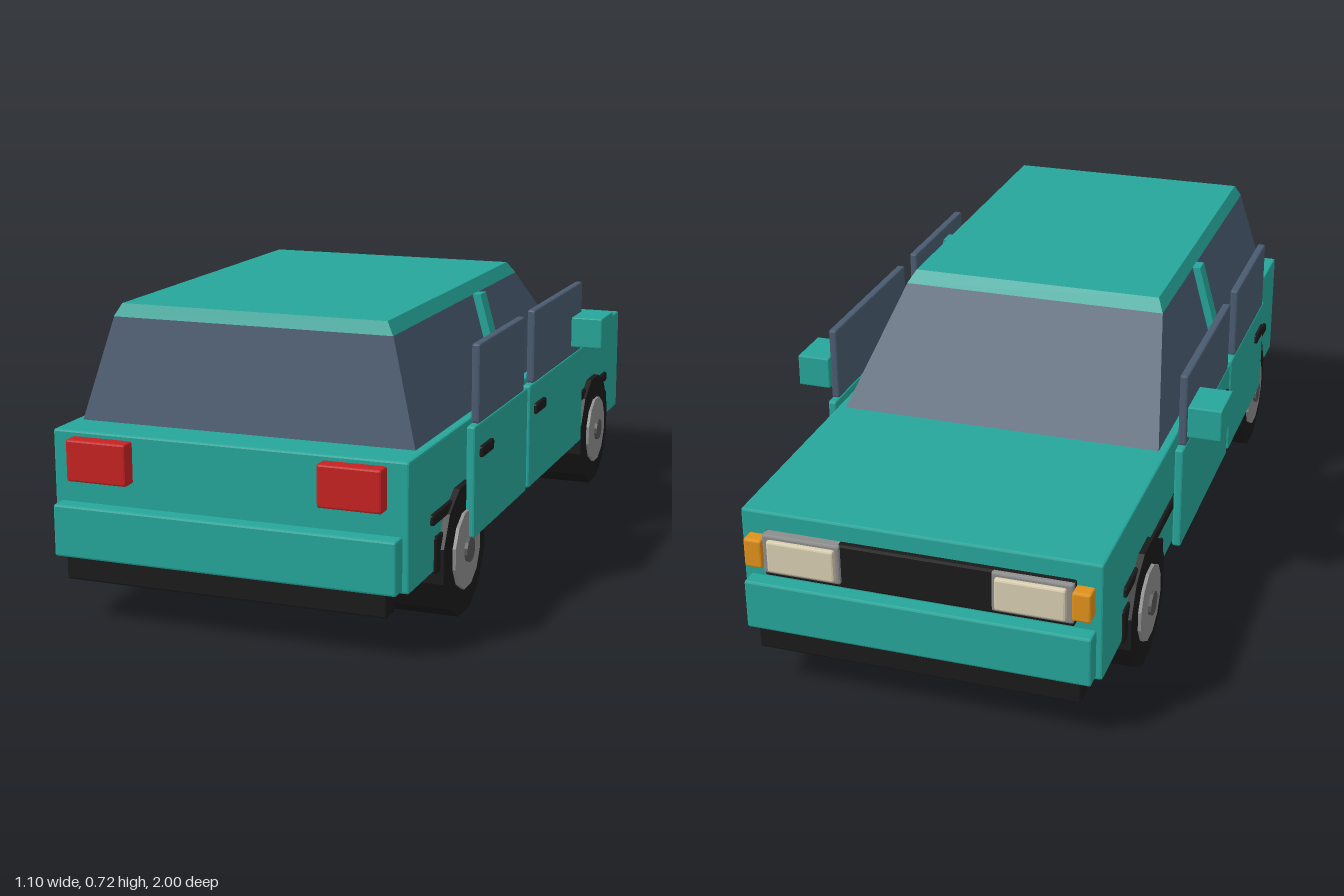
import * as THREE from 'three';
import { RoundedBoxGeometry } from 'three/addons/geometries/RoundedBoxGeometry.js';

const paint = (color) => new THREE.MeshStandardMaterial({ color, flatShading: true });
const teal = paint(0x26a69a), glass = paint(0x4a5b70), black = paint(0x1a1a1a), red = paint(0xc62222);
const orange = paint(0xe0921a), cream = paint(0xd8ceb0), grey = paint(0x8c8c8c), steel = paint(0x555555);

// Box given by its limits on each axis, with slightly softened edges
function box(name, mat, [x0, x1], [y0, y1], [z0, z1], bevel = 0.005) {
  const geo = new RoundedBoxGeometry(x1 - x0, y1 - y0, z1 - z0, 1, bevel);
  const mesh = new THREE.Mesh(geo, mat);
  mesh.name = name;
  mesh.position.set((x0 + x1) / 2, (y0 + y1) / 2, (z0 + z1) / 2);
  return mesh;
}

// Box whose top rectangle differs from its bottom one; rect = [halfX, zMin, zMax]
function frustum(name, mat, y0, y1, bottom, top) {
  const geo = new THREE.BoxGeometry(1, 1, 1);
  const p = geo.attributes.position;
  for (let i = 0; i < p.count; i++) {
    const upper = p.getY(i) > 0;
    const [hx, zMin, zMax] = upper ? top : bottom;
    p.setXYZ(i, Math.sign(p.getX(i)) * hx, upper ? y1 : y0, p.getZ(i) > 0 ? zMax : zMin);
  }
  geo.computeVertexNormals();
  const mesh = new THREE.Mesh(geo, mat);
  mesh.name = name;
  return mesh;
}

// Same box on both sides of the car
function pair(group, name, mat, [x0, x1], y, z, bevel) {
  group.add(box(name + 'Left', mat, [x0, x1], y, z, bevel));
  group.add(box(name + 'Right', mat, [-x1, -x0], y, z, bevel));
}

// Twelve-sided wheel with its outer face towards +x
function wheel(name) {
  const group = new THREE.Group();
  group.name = name;
  const disc = (part, mat, r, x0, x1, rOuter = r) => {
    const geo = new THREE.CylinderGeometry(rOuter, r, x1 - x0, 12);
    geo.rotateY(Math.PI / 12).rotateZ(-Math.PI / 2);
    const mesh = new THREE.Mesh(geo, mat);
    mesh.name = part;
    mesh.position.x = (x0 + x1) / 2;
    group.add(mesh);
  };
  disc('tyre', black, 0.159, -0.08, 0.08);
  disc('rim', grey, 0.095, 0.07, 0.088);
  disc('hubCap', steel, 0.03, 0.08, 0.096);
  return group;
}

export function createModel() {
  const car = new THREE.Group();
  car.name = 'car';

  // Body and cabin
  car.add(box('body', teal, [-0.43, 0.43], [0.15, 0.445], [-0.96, 0.96]));
  car.add(frustum('cabinGlass', glass, 0.44, 0.686, [0.41, -0.405, 0.86], [0.342, -0.12, 0.818]));
  car.add(frustum('roof', teal, 0.686, 0.716, [0.342, -0.122, 0.82], [0.325, -0.095, 0.808]));
  car.add(frustum('doorPillars', teal, 0.44, 0.687, [0.43, 0.205, 0.25], [0.362, 0.205, 0.25]));

  // Bumpers at both ends
  for (const [end, s] of [['rear', 1], ['front', -1]]) {
    const span = (a, b) => (s > 0 ? [a, b] : [-b, -a]);
    car.add(box(end + 'Bumper', teal, [-0.415, 0.415], [0.155, 0.278], span(0.95, 1)));
    car.add(box(end + 'BumperTrim', black, [-0.39, 0.39], [0.1, 0.16], span(0.935, 0.99)));
  }

  // Lights and grille (nose points to -z)
  pair(car, 'tailLight', red, [0.23, 0.38], [0.334, 0.432], [0.95, 0.995]);
  car.add(box('grille', black, [-0.37, 0.37], [0.29, 0.4], [-0.978, -0.95]));
  pair(car, 'headlightHousing', grey, [0.18, 0.37], [0.3, 0.4], [-0.985, -0.95]);
  pair(car, 'headlight', cream, [0.19, 0.355], [0.31, 0.39], [-0.997, -0.96]);
  pair(car, 'indicator', orange, [0.368, 0.412], [0.315, 0.387], [-0.995, -0.95]);

  // Doors, door windows, handles and mirrors
  const doors = [
    ['front', [-0.38, 0.15], [-0.355, 0.12], [0.025, 0.115]],
    ['rear', [0.175, 0.61], [0.21, 0.58], [0.485, 0.575]],
  ];
  for (const [end, panel, pane, handle] of doors) {
    pair(car, end + 'Door', teal, [0.444, 0.466], [0.178, 0.445], panel);
    pair(car, end + 'DoorWindow', glass, [0.445, 0.466], [0.445, 0.632], pane);
    pair(car, end + 'DoorHandle', black, [0.46, 0.475], [0.364, 0.391], handle);
  }
  pair(car, 'mirror', teal, [0.468, 0.552], [0.472, 0.553], [-0.36, -0.235], 0.003);

  // Side trim, wheel arches and wheels
  pair(car, 'sideTrim', black, [0.42, 0.439], [0.264, 0.29], [-0.79, 0.82]);
  for (const [end, z] of [['front', -0.617], ['rear', 0.614]]) {
    pair(car, end + 'WheelArch', black, [0.4, 0.437], [0.145, 0.232], [z - 0.18, z + 0.18]);
    for (const [side, s] of [['Left', 1], ['Right', -1]]) {
      const w = wheel(end + 'Wheel' + side);
      w.position.set(s * 0.365, 0.1545, z);
      if (s < 0) w.rotation.y = Math.PI;
      car.add(w);
    }
  }
  return car;
}
